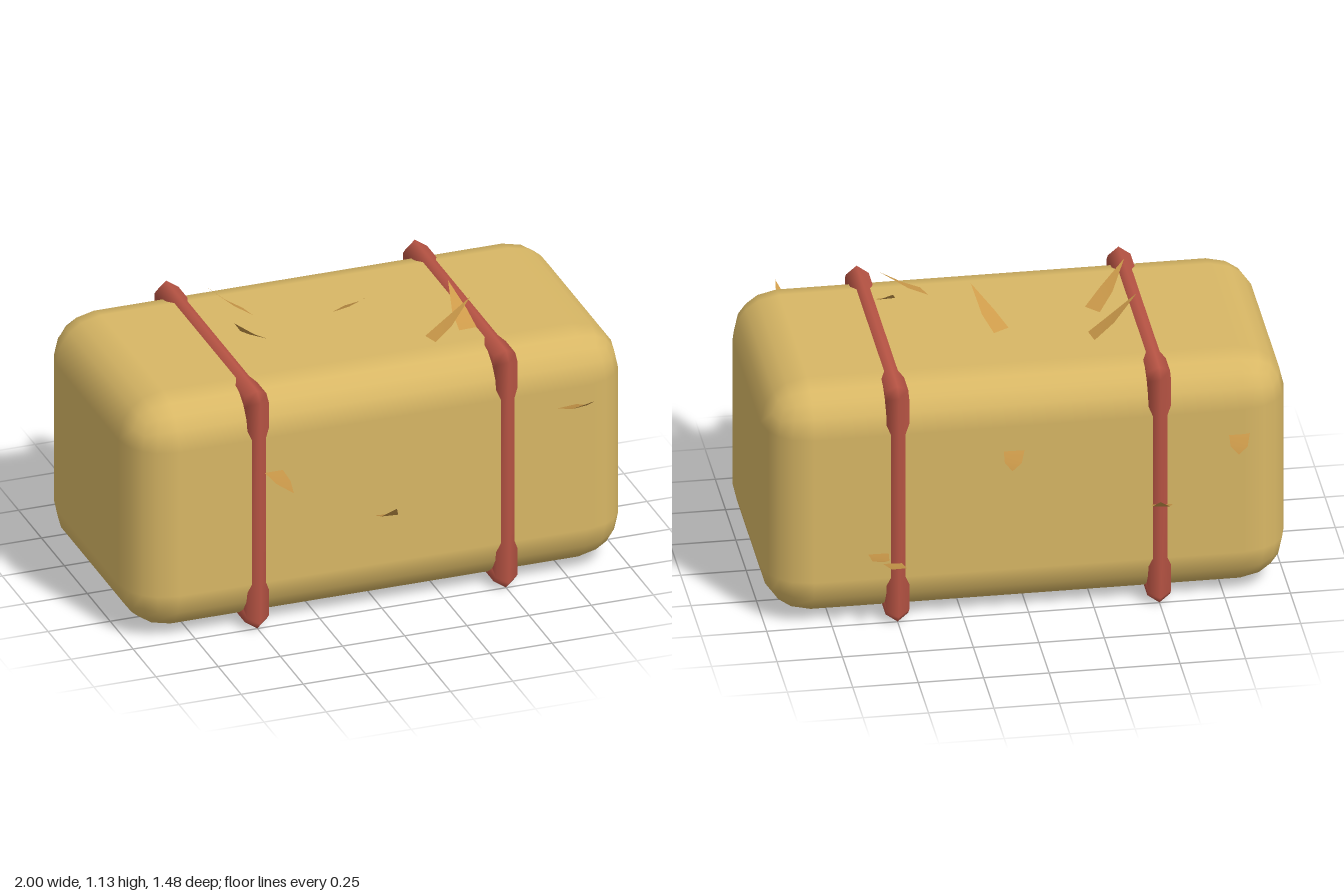
import * as THREE from 'three';
import { RoundedBoxGeometry } from 'three/addons/geometries/RoundedBoxGeometry.js';

const material = (name, color, side = THREE.FrontSide) => {
  const m = new THREE.MeshStandardMaterial({ color, side });
  m.name = name;
  return m;
};

function indexedGeometry(points, index) {
  const g = new THREE.BufferGeometry();
  g.setAttribute('position', new THREE.Float32BufferAttribute(points, 3));
  g.setIndex(index);
  g.computeVertexNormals();
  return g;
}

// Six-sided cord swept round a chamfered rectangle in the z-y plane
function strapGeometry(halfZ, halfY, radius, sides = 6) {
  const points = [], index = [], corners = 8;
  for (let j = 0; j < sides; j++) {
    const a = (j / sides) * Math.PI * 2;
    const out = Math.cos(a) * radius, x = Math.sin(a) * radius;
    const z = halfZ + out, y = halfY + out, c = 0.02 + 0.3 * out;
    const loop = [[z, y - c], [z - c, y], [c - z, y], [-z, y - c],
      [-z, c - y], [c - z, -y], [z - c, -y], [z, c - y]];
    for (const [pz, py] of loop) points.push(x, py, pz);
  }
  for (let j = 0; j < sides; j++) {
    for (let i = 0; i < corners; i++) {
      const j2 = (j + 1) % sides, i2 = (i + 1) % corners;
      const a = j * corners + i, b = j2 * corners + i;
      const c = j2 * corners + i2, d = j * corners + i2;
      index.push(a, b, c, a, c, d);
    }
  }
  return indexedGeometry(points, index);
}

// Flat pointed blade with one bend; width lies level, across its direction
function strawGeometry(base, tip, width, sag) {
  const b = new THREE.Vector3(...base), t = new THREE.Vector3(...tip);
  const dir = t.clone().sub(b);
  const across = new THREE.Vector3(dir.z, 0, -dir.x).normalize();
  const mid = b.clone().lerp(t, 0.5);
  mid.y -= sag;
  const at = (p, s) => p.clone().addScaledVector(across, s * width).toArray();
  const points = [at(b, -0.5), at(b, 0.5), at(mid, -0.4), at(mid, 0.4), t.toArray()].flat();
  return indexedGeometry(points, [0, 1, 3, 0, 3, 2, 2, 3, 4]);
}

export function createModel() {
  const model = new THREE.Group();
  model.name = 'hayBale';
  const hay = material('hay', 0xd8b765);
  const twine = material('red twine', 0xb85444);
  const straw = material('dry straw', 0xcc9a4a, THREE.DoubleSide);

  const add = (name, geometry, mat) => {
    const mesh = new THREE.Mesh(geometry, mat);
    mesh.name = name;
    model.add(mesh);
    return mesh;
  };

  // Bale body
  add('bale', new RoundedBoxGeometry(2, 0.966, 1.034, 2, 0.18), hay).position.y = 0.502;

  // Two binding straps
  const strap = strapGeometry(0.483, 0.45, 0.05);
  for (const [name, x] of [['leftStrap', 0.5], ['rightStrap', -0.5]]) {
    add(name, strap, twine).position.set(x, 0.5, 0);
  }

  // Loose straws: base, tip, width, sag of the bend
  const straws = {
    frontStraw: [
      [[-0.44, 0.66, 0.5], [-0.44, 0.67, 0.735], 0.075, 0.004],
      [[0.005, 0.395, 0.5], [-0.02, 0.525, 0.72], 0.08, 0.017],
      [[0.735, 0.725, 0.5], [0.775, 0.845, 0.725], 0.08, 0.015],
    ],
    backStraw: [
      [[-0.805, 0.7, -0.5], [-0.765, 0.735, -0.745], 0.08, 0.012],
      [[-0.51, 0.42, -0.5], [-0.47, 0.545, -0.72], 0.08, 0.015],
      [[0.055, 0.7, -0.5], [0.1, 0.735, -0.745], 0.08, 0.012],
      [[0.525, 0.255, -0.5], [0.5, 0.35, -0.735], 0.07, 0.015],
      [[0.575, 0.3, -0.5], [0.59, 0.385, -0.74], 0.08, 0.015],
    ],
    topStraw: [
      [[-0.27, 0.97, -0.18], [-0.47, 1.135, -0.14], 0.075, 0.01],
      [[-0.31, 0.97, 0.02], [-0.47, 1.125, 0.165], 0.075, 0.01],
      [[0.025, 0.97, -0.1], [0.13, 1.112, 0.08], 0.075, 0.01],
      [[0.25, 0.97, 0.29], [0.455, 1.108, 0.23], 0.07, 0.01],
      [[0.44, 0.97, 0.28], [0.43, 1.1, 0.055], 0.075, 0.01],
    ],
  };
  for (const [name, list] of Object.entries(straws)) {
    list.forEach((s, i) => add(name + (i + 1), strawGeometry(...s), straw));
  }
  return model;
}
